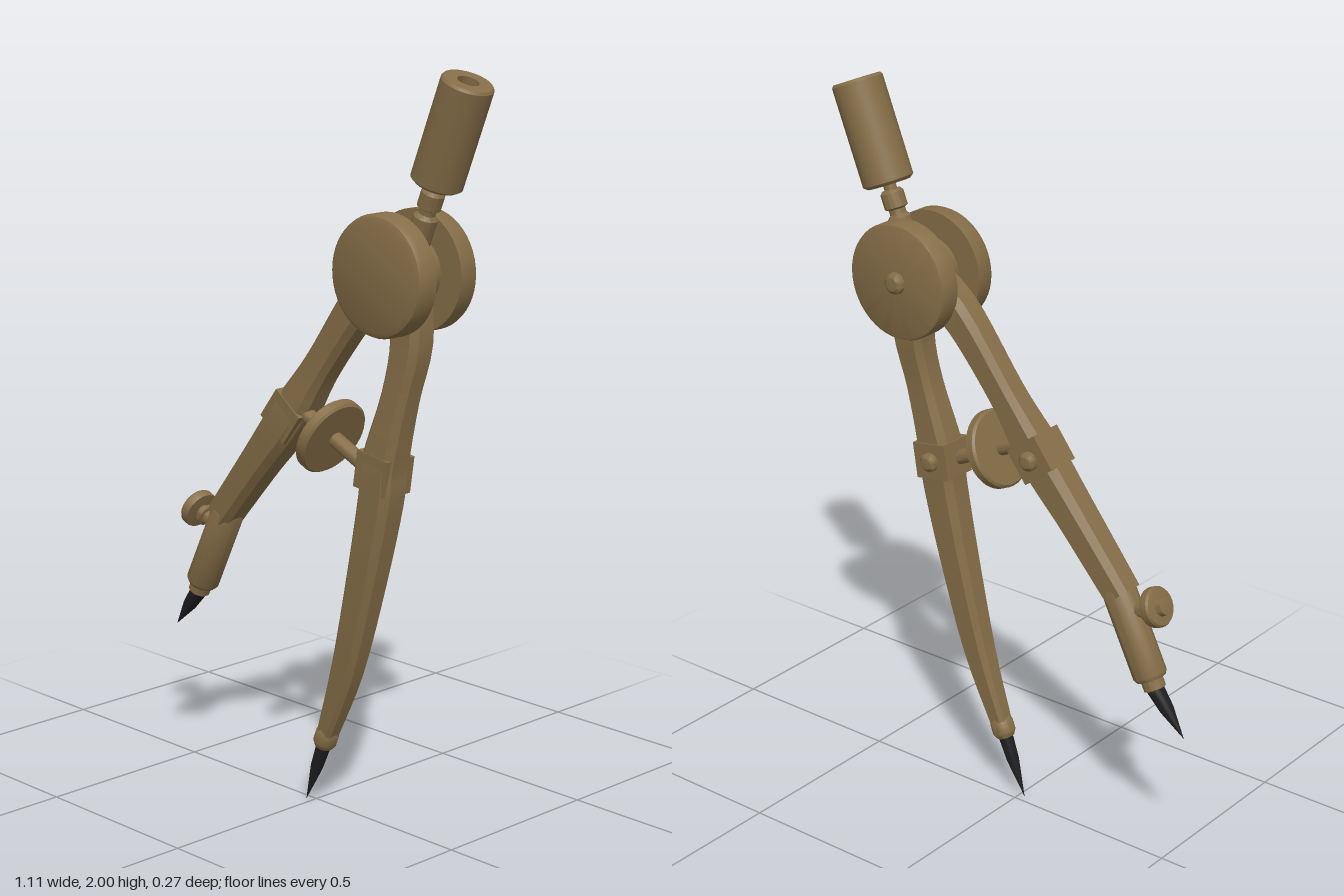
import * as THREE from 'three';
import { toCreasedNormals } from 'three/addons/utils/BufferGeometryUtils.js';

const brass = new THREE.MeshStandardMaterial({ color: 0x856d47 });
brass.name = 'brass';
const steel = new THREE.MeshStandardMaterial({ color: 0x1f1f21 });
steel.name = 'darkSteel';

const V = (x, y, z) => new THREE.Vector3(x, y, z);

function mesh(name, geometry, material = brass) {
  const m = new THREE.Mesh(toCreasedNormals(geometry, 0.55), material);
  m.name = name;
  return m;
}

// Turned part: profile of [radius, distance] pairs running from start along dir
function turned(name, start, dir, profile, material = brass, sides = 32) {
  const g = new THREE.LatheGeometry(profile.map(([r, t]) => new THREE.Vector2(r, t)), sides);
  const m = mesh(name, g, material);
  m.position.copy(start);
  m.quaternion.setFromUnitVectors(V(0, 1, 0), dir.clone().normalize());
  return m;
}

// Chamfered bar swept through rows of [x, y, z, halfWidth, halfDepth]
function leg(name, rows, steps = 28) {
  const path = new THREE.CatmullRomCurve3(rows.map(r => V(r[0], r[1], r[2])), false, 'catmullrom');
  const size = new THREE.CatmullRomCurve3(rows.map(r => V(r[3], r[4], 0)), false, 'catmullrom');
  const ring = [[1, -0.6], [1, 0.6], [0.65, 1], [-0.65, 1], [-1, 0.6], [-1, -0.6], [-0.65, -1], [0.65, -1]];
  const n = ring.length, pos = [], idx = [];
  for (let i = 0; i <= steps; i++) {
    const c = path.getPoint(i / steps), s = size.getPoint(i / steps), t = path.getTangent(i / steps);
    const len = Math.hypot(t.x, t.y);
    for (const [a, b] of ring) {
      pos.push(c.x - t.y / len * a * s.x, c.y + t.x / len * a * s.x, c.z + b * s.y);
    }
    if (i === steps) break;
    for (let j = 0; j < n; j++) {
      const p = i * n + j, q = i * n + (j + 1) % n;
      idx.push(p, q, q + n, p, q + n, p + n);
    }
  }
  const last = steps * n;
  for (let j = 1; j < n - 1; j++) idx.push(0, j + 1, j, last, last + j, last + j + 1);
  const g = new THREE.BufferGeometry();
  g.setAttribute('position', new THREE.Float32BufferAttribute(pos, 3));
  g.setIndex(idx);
  return mesh(name, g);
}

// Disc with rounded outer rim
const disc = (r, h, b) => [[0, 0], [r, 0], [r, h - b], [r - b * 0.3, h - b * 0.3], [r - b, h], [0, h]];

// Pivot block and rivet on the back of a leg
function pivot(name, x, y, z, angle) {
  const g = new THREE.Group();
  g.name = name;
  const block = mesh('pivotBlock', new THREE.BoxGeometry(0.108, 0.1, 0.1));
  block.position.set(x, y, z);
  block.rotation.z = angle;
  g.add(block, turned('pivotRivet', V(x, y, z - 0.045), V(0, 0, -1),
    [[0.026, 0], [0.026, 0.016], [0.016, 0.025], [0, 0.027]], brass, 20));
  return g;
}

export function createModel() {
  const model = new THREE.Group();
  model.name = 'drawingCompass';
  const hub = V(0.3, 1.483, 0);

  // Hinge: two cheek discs around the leg lugs
  model.add(
    turned('frontCheek', V(hub.x, hub.y, 0.032), V(0, 0, 1), disc(0.157, 0.062, 0.018), brass, 48),
    turned('backCheek', V(hub.x, hub.y, -0.056), V(0, 0, -1), disc(0.157, 0.06, 0.01), brass, 48),
    turned('hingeBarrel', V(hub.x, hub.y, -0.058), V(0, 0, 1), [[0, 0], [0.088, 0], [0.088, 0.092], [0, 0.092]]),
    turned('hingeRivet', V(hub.x, hub.y, -0.113), V(0, 0, -1), [[0.03, 0], [0.028, 0.014], [0.018, 0.022], [0, 0.023]])
  );

  // Handle on a stepped stem
  const up = V(0.37, 0.929, 0), base = V(hub.x, hub.y, -0.031);
  model.add(
    turned('handleStem', base, up, [[0, 0], [0.032, 0.02], [0.032, 0.155], [0.022, 0.165],
      [0.022, 0.178], [0.031, 0.183], [0.031, 0.222], [0.025, 0.23], [0.017, 0.232], [0.017, 0.28], [0, 0.28]]),
    turned('handle', base.clone().addScaledVector(up, 0.246), up, [[0, 0], [0.058, 0], [0.068, 0.008], [0.068, 0.274],
      [0.063, 0.281], [0.028, 0.281], [0.026, 0.22], [0, 0.22]])
  );

  // Legs
  model.add(
    leg('rightLeg', [
      [0.27, 1.47, -0.015, 0.06, 0.044], [0.16, 1.393, -0.014, 0.05, 0.044], [0.022, 1.205, -0.002, 0.043, 0.042],
      [-0.08, 1.055, 0.01, 0.056, 0.05], [-0.2, 0.91, 0.014, 0.048, 0.047], [-0.345, 0.735, 0.015, 0.042, 0.043]]),
    leg('leftLeg', [
      [0.318, 1.45, -0.014, 0.056, 0.044], [0.333, 1.31, -0.01, 0.05, 0.043], [0.307, 1.165, 0.002, 0.044, 0.041],
      [0.262, 0.99, 0.01, 0.055, 0.048], [0.252, 0.89, 0.014, 0.055, 0.046], [0.208, 0.677, 0.018, 0.049, 0.042],
      [0.14, 0.413, 0.02, 0.04, 0.034], [0.06, 0.2, 0.02, 0.025, 0.025]]),
    pivot('rightPivot', -0.08, 1.06, 0.008, -0.65),
    pivot('leftPivot', 0.255, 0.965, 0.008, -0.15)
  );

  // Needle sleeve on the right leg
  const down = V(-0.44, -0.898, 0), sleeve = V(-0.322, 0.765, 0.015);
  model.add(
    turned('needleSleeve', sleeve, down, [[0, 0], [0.038, 0], [0.046, 0.02], [0.046, 0.262], [0.04, 0.272],
      [0.03, 0.274], [0.03, 0.3], [0.02, 0.306], [0, 0.306]]),
    turned('rightNeedle', V(-0.45, 0.5, 0.015), V(-0.1, -0.124, 0), [[0, 0], [0.024, 0.005], [0.019, 0.07], [0, 0.159]], steel, 16)
  );

  // Thumbscrew clamping the sleeve
  model.add(turned('thumbscrew', V(-0.36, 0.69, 0.015), V(-0.91, 0.41, 0), [[0, 0], [0.02, 0], [0.02, 0.06], [0.03, 0.062],
    [0.03, 0.074], [0.02, 0.078], [0.02, 0.086], [0.052, 0.088], [0.054, 0.094], [0.054, 0.11], [0.05, 0.116],
    [0.026, 0.118], [0.024, 0.134], [0, 0.138]], brass, 24));

  // Fixed needle on the left leg
  const tip = V(-0.365, -0.931, 0);
  model.add(
    turned('needleCollar', V(0.068, 0.222, 0.02), tip, [[0, 0], [0.026, 0], [0.032, 0.012], [0.032, 0.042], [0.024, 0.056], [0, 0.058]], brass, 24),
    turned('leftNeedle', V(0.048, 0.17, 0.02), tip, [[0, 0], [0.02, 0], [0.017, 0.07], [0, 0.183]], steel, 16)
  );

  // Adjusting spindle with its wheel
  const a = V(-0.07, 1.097, 0.022), dir = V(0.32, -0.145, 0);
  model.add(
    turned('spindle', a, dir, [[0, 0], [0.021, 0], [0.021, 0.34], [0, 0.34]], brass, 20),
    turned('adjustingWheel', V(0.062, 1.037, 0.024), dir, [[0, 0], [0.101, 0], [0.107, 0.006], [0.107, 0.028], [0.101, 0.034], [0, 0.034]], brass, 40)
  );
  return model;
}
